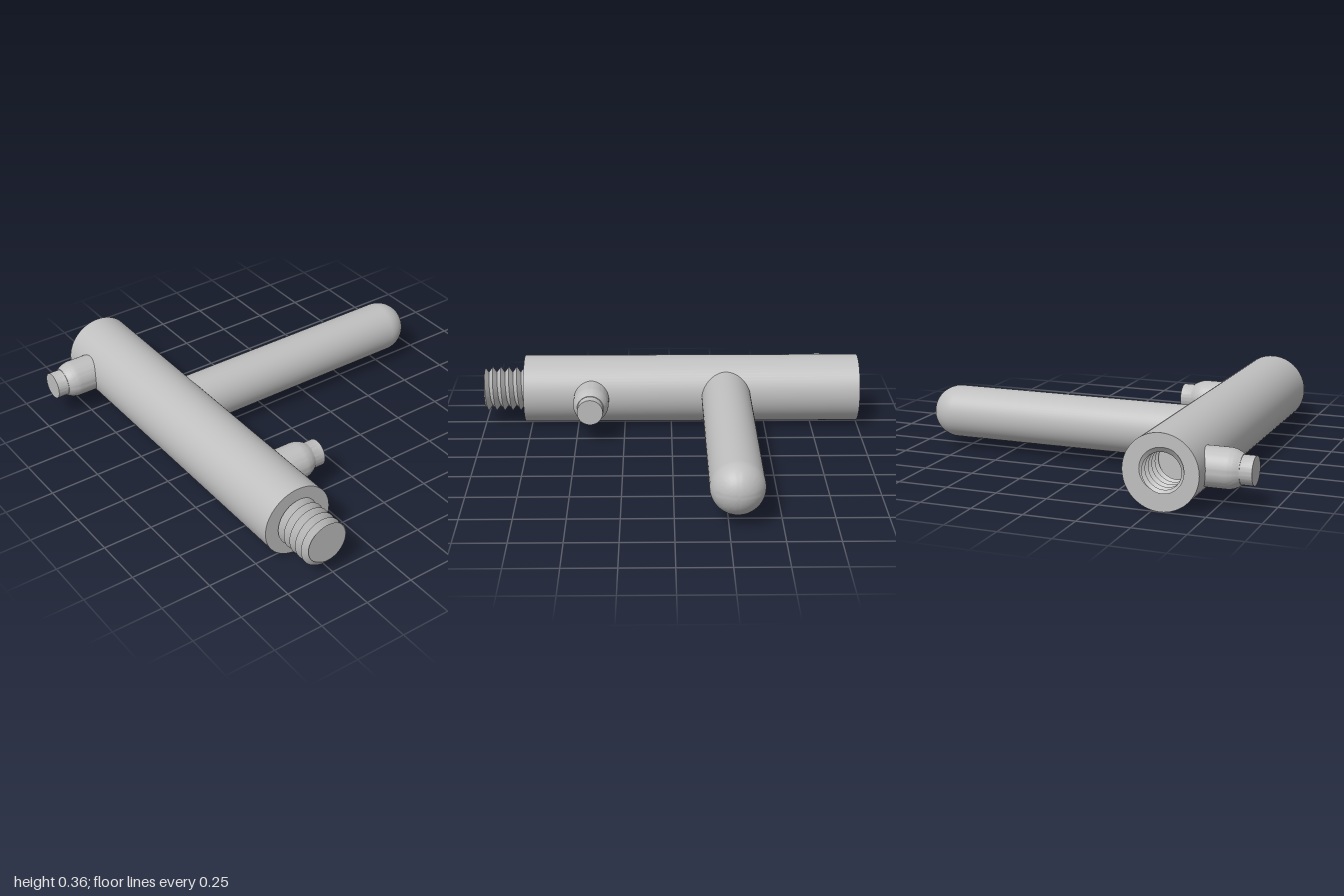
import * as THREE from 'three';
import { toCreasedNormals } from 'three/addons/utils/BufferGeometryUtils.js';

const AXIS_X = -0.54, AXIS_Y = 0.18, TUBE_R = 0.178;
const CREST = 0.118, ROOT = 0.088, PITCH = 0.043;

// Turned part about +y from [radius, height] points, with sharp edges kept
function turned(points) {
  const profile = points.map(([r, y]) => new THREE.Vector2(r, y));
  return toCreasedNormals(new THREE.LatheGeometry(profile, 64), 0.6);
}

// Helical V thread along +z, closed at z = 0 and capped at z = length out to capRadius.
// inner turns the faces toward the axis, for a threaded hole.
function threadGeometry(length, capRadius, inner, phase) {
  const sides = 64, positions = [], index = [];
  const first = -Math.ceil(2 * length / PITCH) - 2, last = 3;
  const rows = last - first + 3;
  for (let row = 0; row < rows; row++) {
    const k = THREE.MathUtils.clamp(first + row - 1, first, last);
    for (let j = 0; j <= sides; j++) {
      const turn = j / sides, a = turn * Math.PI * 2;
      const z = THREE.MathUtils.clamp(length + PITCH * (k / 2 + turn - phase), 0, length);
      const u = (z - length) / PITCH - turn + phase;
      let r = ROOT + (CREST - ROOT) * Math.abs(2 * (u - Math.floor(u)) - 1);
      if (row === 0) r = 0;
      if (row === rows - 1) r = capRadius;
      positions.push(r * Math.cos(a), r * Math.sin(a), z);
    }
  }
  for (let row = 0; row < rows - 1; row++) {
    for (let j = 0; j < sides; j++) {
      const a = row * (sides + 1) + j, b = a + 1, c = b + sides + 1, d = c - 1;
      if (inner) index.push(a, c, b, a, d, c);
      else index.push(a, b, c, a, c, d);
    }
  }
  const geometry = new THREE.BufferGeometry();
  geometry.setAttribute('position', new THREE.Float32BufferAttribute(positions, 3));
  geometry.setIndex(index);
  return toCreasedNormals(geometry, 0.5);
}

export function createModel() {
  const group = new THREE.Group();
  const steel = new THREE.MeshStandardMaterial({ color: 0xbfbfbf });
  steel.name = 'steel grey';

  function add(name, geometry, x, y, z) {
    const mesh = new THREE.Mesh(geometry, steel);
    mesh.name = name;
    mesh.position.set(x, y, z);
    group.add(mesh);
    return mesh;
  }

  // Main tube, open at the back where the threaded hole's rim closes it
  add('mainTube', turned([[TUBE_R, -1], [TUBE_R, 0.785], [0, 0.785]]).rotateX(Math.PI / 2),
    AXIS_X, AXIS_Y, 0);

  // Threaded stud at the front and matching hole at the back
  add('threadedStud', threadGeometry(0.225, 0, false, 1.167), AXIS_X, AXIS_Y, 0.775);
  add('threadedHole', threadGeometry(0.24, TUBE_R, true, 1.167).translate(0, 0, -0.24).rotateY(Math.PI),
    AXIS_X, AXIS_Y, -1);

  // Long handle with a round end
  const handle = [[0.13, 0.05]];
  for (let i = 0; i <= 16; i++) {
    const a = i / 16 * Math.PI / 2;
    handle.push([i === 16 ? 0 : 0.13 * Math.cos(a), 1.33 + 0.13 * Math.sin(a)]);
  }
  add('handle', turned(handle).rotateZ(-Math.PI / 2), AXIS_X, AXIS_Y, -0.29);

  // Two side pegs: rounded shoulder, then a narrower tip
  const peg = [[0.093, 0.08], [0.093, 0.255]];
  for (let i = 1; i <= 8; i++) {
    const t = i / 8;
    peg.push([0.093 - 0.023 * t * t, 0.255 + 0.067 * t]);
  }
  peg.push([0.067, 0.322], [0.067, 0.379], [0, 0.379]);
  for (const [name, side, z] of [['leftPeg', 1, 0.425], ['rightPeg', -1, -0.825]]) {
    add(name, turned(peg).rotateZ(-side * Math.PI / 2), AXIS_X, AXIS_Y, z);
  }

  return group;
}
